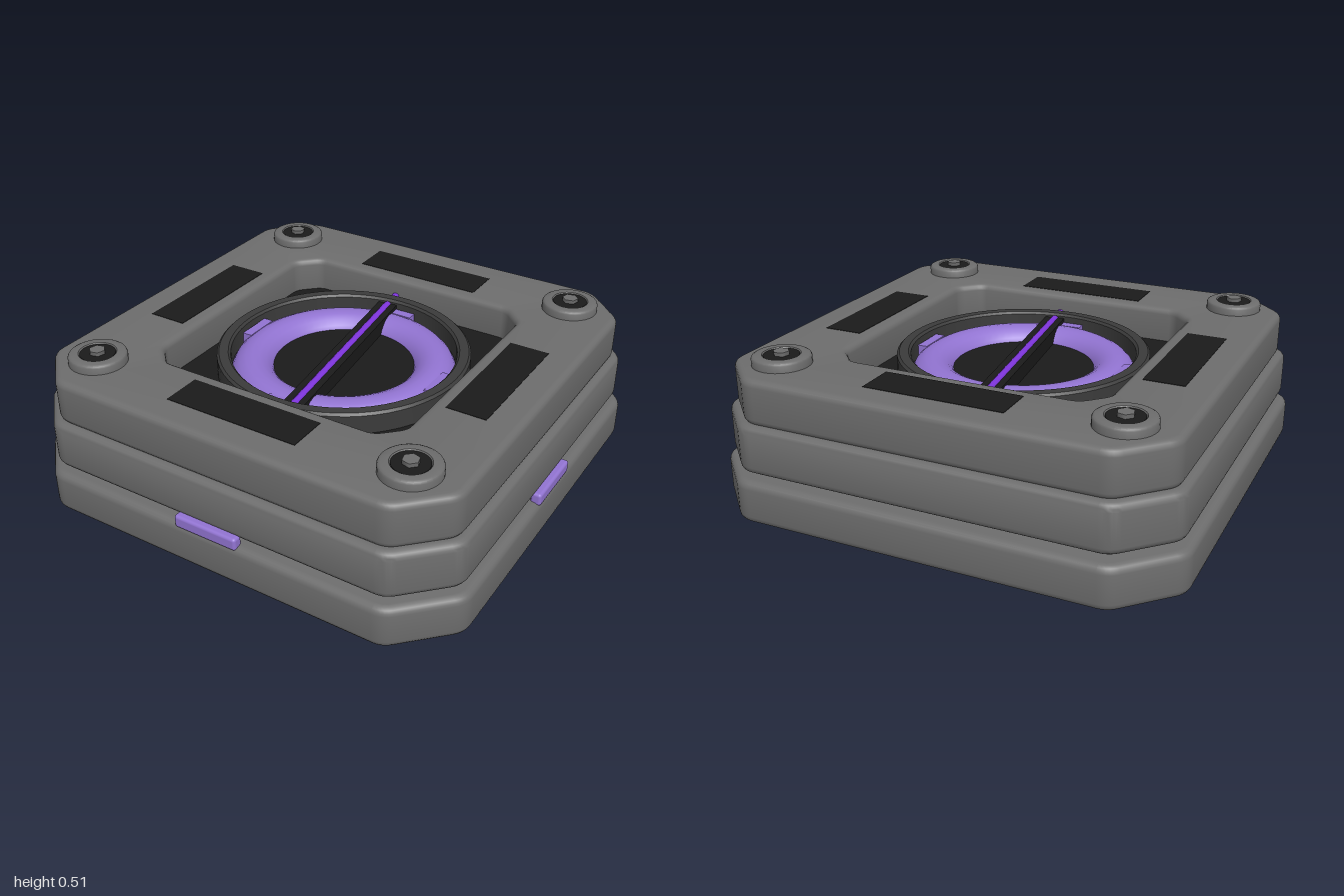
import * as THREE from 'three';
import { toCreasedNormals } from 'three/addons/utils/BufferGeometryUtils.js';
import { RoundedBoxGeometry } from 'three/addons/geometries/RoundedBoxGeometry.js';

const mat = (name, color) => new THREE.MeshStandardMaterial({ name, color });

// Diamond with cut, softly rounded corners: reach is the extent on each axis,
// cut the half-width of a corner facet, round the length softened at each corner
function diamond(reach, cut, round, Type = THREE.Shape) {
  const pts = [];
  for (let i = 0; i < 4; i++) {
    for (const s of [-cut, cut]) {
      pts.push(new THREE.Vector2(reach, s).rotateAround(new THREE.Vector2(), i * Math.PI / 2));
    }
  }
  const path = new Type();
  pts.forEach((p, i) => {
    const before = pts[(i + 7) % 8].clone().sub(p).setLength(round).add(p);
    const after = pts[(i + 1) % 8].clone().sub(p).setLength(round).add(p);
    if (i === 0) path.moveTo(before.x, before.y);
    else path.lineTo(before.x, before.y);
    path.quadraticCurveTo(p.x, p.y, after.x, after.y);
  });
  path.closePath();
  return path;
}

// Horizontal slab with rounded rims, from y0 to y1
function slab(shape, y0, y1, bevel) {
  const geo = new THREE.ExtrudeGeometry(shape, {
    depth: y1 - y0 - 2 * bevel, bevelEnabled: bevel > 0, bevelThickness: bevel,
    bevelSize: bevel, bevelOffset: -bevel, bevelSegments: 4, curveSegments: 5,
  });
  geo.rotateX(-Math.PI / 2).translate(0, y0 + bevel, 0);
  return toCreasedNormals(geo, 0.6);
}

// Ring turned from a profile that runs up the outside and down the inside
function lathe(points, segments = 64) {
  const geo = new THREE.LatheGeometry(points.map(p => new THREE.Vector2(...p)), segments);
  return toCreasedNormals(geo, 0.6);
}

export function createModel() {
  const body = mat('body grey', 0x6d6d6d);
  const dark = mat('panel black', 0x1b1b1b);
  const rim = mat('ring charcoal', 0x3b3b3b);
  const purple = mat('soft purple', 0x9274d2);
  const violet = mat('bright violet', 0x7f35dd);

  const model = new THREE.Group();
  const add = (name, geo, material, parent = model) => {
    const mesh = new THREE.Mesh(geo, material);
    mesh.name = name;
    parent.add(mesh);
    return mesh;
  };

  // Stacked housing, with a narrow open gap above the base
  add('basePlate', slab(diamond(1, 0.125, 0.035), 0, 0.145, 0.025), body);
  add('middlePlate', slab(diamond(0.98, 0.115, 0.035), 0.163, 0.325, 0.025), body);
  const frame = diamond(0.955, 0.105, 0.035);
  frame.holes.push(diamond(0.6, 0.05, 0.025, THREE.Path));
  add('topFrame', slab(frame, 0.32, 0.472, 0.022), body);
  add('wellFloor', slab(diamond(0.61, 0.05, 0.02), 0.322, 0.35, 0), dark);

  // Round core: rim, glowing torus and central disc
  add('coreRim', lathe([[0.432, 0.325], [0.432, 0.415], [0.424, 0.423], [0.393, 0.423],
    [0.385, 0.415], [0.385, 0.325]]), rim);
  add('coreTorus', new THREE.TorusGeometry(0.311, 0.078, 20, 64)
    .rotateX(Math.PI / 2).translate(0, 0.323, 0), purple);
  add('coreDisc', new THREE.CylinderGeometry(0.27, 0.27, 0.02, 48).translate(0, 0.346, 0), dark);

  // Diagonal bar with a thin rod piercing the rim
  const bar = new THREE.Group();
  bar.name = 'crossBar';
  bar.rotation.y = Math.atan2(0.36, 0.28);
  add('barBody', new THREE.BoxGeometry(0.78, 0.06, 0.072).translate(0, 0.378, 0), dark, bar);
  add('barRod', new THREE.CylinderGeometry(0.014, 0.014, 0.92, 12)
    .rotateZ(Math.PI / 2).translate(0, 0.402, 0), violet, bar);
  model.add(bar);

  for (let i = 0; i < 4; i++) {
    // Vent panels and torus clips on the four sides
    const side = new THREE.Group();
    side.name = 'side' + (i + 1);
    side.rotation.y = Math.PI / 4 + i * Math.PI / 2;
    add('ventPanel', new THREE.BoxGeometry(0.136, 0.008, 0.47).translate(0.575, 0.4695, 0), dark, side);
    add('torusClip', new THREE.BoxGeometry(0.035, 0.06, 0.13).translate(0.362, 0.364, 0), purple, side);
    model.add(side);

    // Bolts at the four corners
    const bolt = new THREE.Group();
    bolt.name = 'bolt' + (i + 1);
    bolt.rotation.y = i * Math.PI / 2;
    const washer = lathe([[0.096, 0.465], [0.096, 0.494], [0.093, 0.5], [0.086, 0.504],
      [0.062, 0.504], [0.058, 0.498], [0.058, 0.465]], 32);
    add('washer', washer.translate(0.815, 0, 0), body, bolt);
    add('boltHead', new THREE.CylinderGeometry(0.058, 0.058, 0.03, 32)
      .translate(0.815, 0.486, 0), dark, bolt);
    add('hexPin', new THREE.CylinderGeometry(0.027, 0.027, 0.03, 6)
      .translate(0.815, 0.499, 0), body, bolt);
    model.add(bolt);
  }

  // Indicator lights in the gap on the two front sides
  for (const s of [-1, 1]) {
    const light = add(s > 0 ? 'leftIndicator' : 'rightIndicator',
      new RoundedBoxGeometry(0.23, 0.044, 0.036, 3, 0.01), purple);
    light.position.set(s * 0.55, 0.155, 0.55);
    light.rotation.y = s * Math.PI / 4;
  }
  return model;
}
